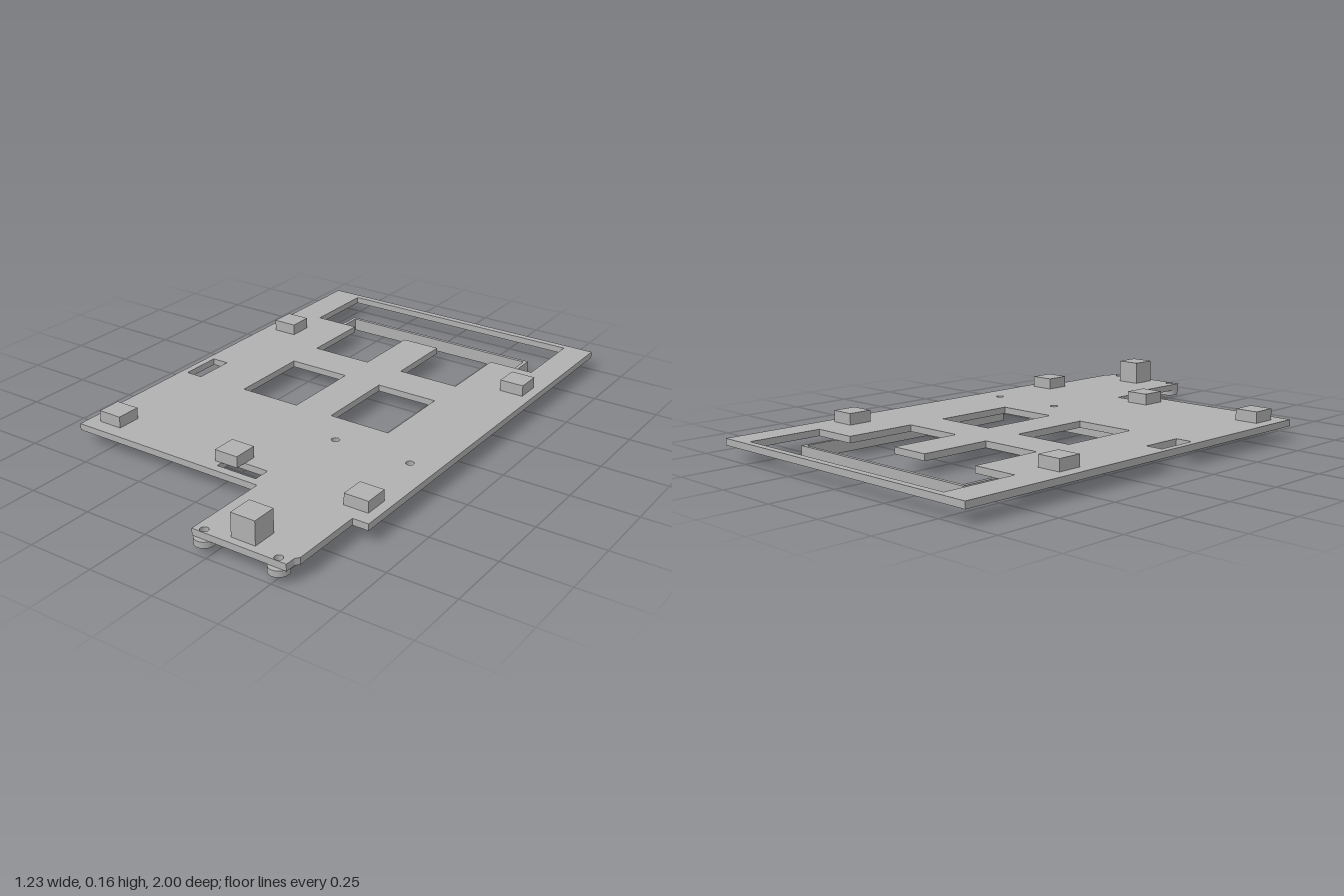
import * as THREE from 'three';

const grey = new THREE.MeshStandardMaterial({ color: 0xb0b0b0 });
grey.name = 'plain grey';

const BASE = 0.05, TOP = 0.075; // underside and top of the plate

// outlines are given as [x, z]; z is flipped so the extrusion points up
const toPoints = (pts) => pts.map(([x, z]) => new THREE.Vector2(x, -z));
const rect = (x0, x1, z0, z1) => new THREE.Path(toPoints([[x0, z0], [x1, z0], [x1, z1], [x0, z1]]));
const circle = (x, z, r) => new THREE.Path().absarc(x, -z, r, 0, Math.PI * 2, true);

function slab(name, shape, y0, y1) {
  const geo = new THREE.ExtrudeGeometry(shape, { depth: y1 - y0, bevelEnabled: false, curveSegments: 20 });
  geo.rotateX(-Math.PI / 2).translate(0, y0, 0);
  const mesh = new THREE.Mesh(geo, grey);
  mesh.name = name;
  return mesh;
}

function box(name, x0, x1, y0, y1, z0, z1) {
  const mesh = new THREE.Mesh(new THREE.BoxGeometry(x1 - x0, y1 - y0, z1 - z0), grey);
  mesh.position.set((x0 + x1) / 2, (y0 + y1) / 2, (z0 + z1) / 2);
  mesh.name = name;
  return mesh;
}

export function createModel() {
  const model = new THREE.Group();
  model.name = 'mountingPlate';

  const screws = [[0.207, 0.23], [0.512, 0.23], [0.217, 0.963], [0.503, 0.963]];

  // plate with front tab
  const plate = new THREE.Shape(toPoints([
    [-0.617, -1], [-0.617, 0.647], [0.18, 0.647], [0.18, 0.98], [0.543, 0.98],
    [0.545, 0.94], [0.556, 0.925], [0.556, 0.647], [0.617, 0.647], [0.617, -1],
  ]));
  // rear opening, joined with the two rear windows
  plate.holes.push(new THREE.Path(toPoints([
    [-0.495, -0.973], [0.508, -0.973], [0.508, -0.68], [0.33, -0.68], [0.33, -0.4],
    [0.085, -0.4], [0.085, -0.68], [-0.07, -0.68], [-0.07, -0.4], [-0.315, -0.4],
    [-0.315, -0.68], [-0.495, -0.68],
  ])));
  plate.holes.push(
    rect(-0.315, -0.07, -0.243, 0.08), // front windows
    rect(0.085, 0.33, -0.243, 0.08),
    rect(-0.59, -0.523, -0.078, 0.084), // side slot
    rect(-0.013, 0.15, 0.55, 0.615), // front slot
    ...screws.map(([x, z]) => circle(x, z, 0.015)),
  );
  model.add(slab('plate', plate, BASE, TOP));

  // hollow standoffs below the screw holes
  for (const [x, z] of screws) {
    const ring = new THREE.Shape().absarc(x, -z, 0.036, 0, Math.PI * 2, false);
    ring.holes.push(circle(x, z, 0.015));
    model.add(slab('standoff', ring, 0.027, BASE));
  }

  // rim below the plate, open at the front right corner
  const rim = new THREE.Shape(toPoints([
    [0.425, 0.15], [0.425, -0.82], [-0.41, -0.82], [-0.41, 0.18], [0.28, 0.18], [0.28, 0.165],
    [-0.396, 0.165], [-0.396, -0.806], [0.411, -0.806], [0.411, 0.15],
  ]));
  model.add(slab('rim', rim, 0, BASE));

  // spacer blocks on top
  const half = 0.047;
  for (const [x, z, top] of [
    [-0.522, -0.51, 0.118], [0.533, -0.51, 0.118], [-0.522, 0.545, 0.118],
    [0.007, 0.545, 0.118], [0.533, 0.545, 0.118], [0.36, 0.905, 0.163],
  ]) model.add(box('spacerBlock', x - half, x + half, TOP, top, z - half, z + half));

  return model;
}
